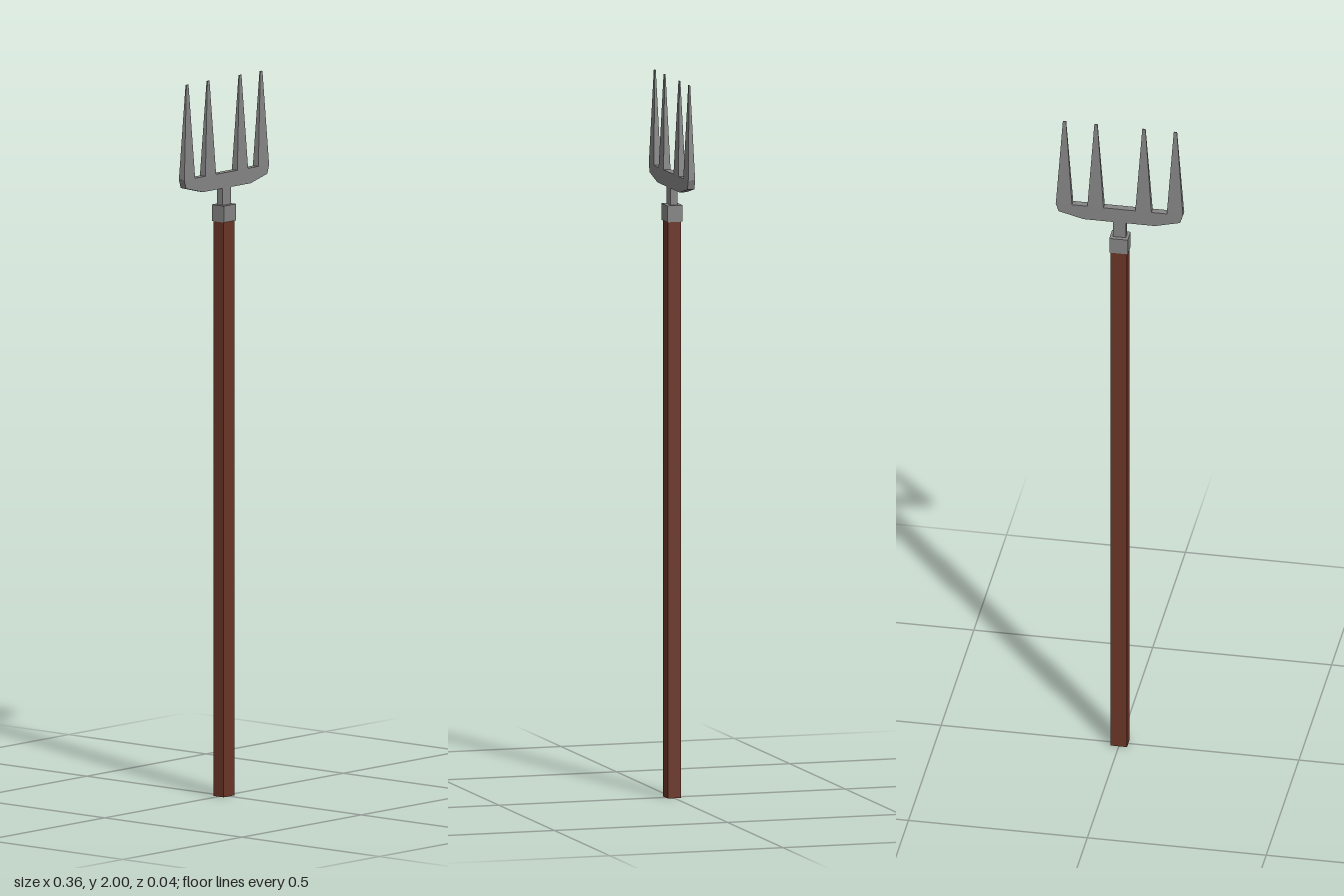
import * as THREE from 'three';

const BAR_TOP = 1.738;
const steel = new THREE.MeshStandardMaterial({ color: 0x858585, flatShading: true });
const wood = new THREE.MeshStandardMaterial({ color: 0x6b3526, flatShading: true });

// Box with its base at y0, optionally tapered to a smaller top
function block(name, material, w, h, d, x, y0, topW = w, topD = d) {
  const geo = new THREE.BoxGeometry(w, h, d);
  const p = geo.attributes.position;
  for (let i = 0; i < p.count; i++) {
    if (p.getY(i) > 0) {
      p.setX(i, Math.sign(p.getX(i)) * topW / 2);
      p.setZ(i, Math.sign(p.getZ(i)) * topD / 2);
    }
  }
  geo.translate(0, h / 2, 0);
  geo.computeVertexNormals();
  const mesh = new THREE.Mesh(geo, material);
  mesh.name = name;
  mesh.position.set(x, y0, 0);
  return mesh;
}

export function createModel() {
  const fork = new THREE.Group();
  fork.name = 'pitchfork';

  // Shaft, ferrule and the neck joining the head
  fork.add(block('handle', wood, 0.046, 1.61, 0.038, 0, 0));
  fork.add(block('collar', steel, 0.052, 0.046, 0.044, 0, 1.602));
  fork.add(block('neck', steel, 0.036, 0.054, 0.02, 0, 1.645));

  // Crossbar with a flat middle and raised outer ends
  const outline = [[-0.178, BAR_TOP], [-0.17, 1.713], [-0.1, 1.695],
    [0.1, 1.695], [0.17, 1.713], [0.178, BAR_TOP]];
  const shape = new THREE.Shape(outline.map(([x, y]) => new THREE.Vector2(x, y)));
  const barGeo = new THREE.ExtrudeGeometry(shape, { depth: 0.02, bevelEnabled: false });
  barGeo.translate(0, 0, -0.01);
  const bar = new THREE.Mesh(barGeo, steel);
  bar.name = 'crossbar';
  fork.add(bar);

  // Four tapering tines
  const tines = new THREE.Group();
  tines.name = 'tines';
  for (const x of [-0.155, -0.067, 0.067, 0.155]) {
    tines.add(block('tine', steel, 0.045, 2 - BAR_TOP, 0.02, x, BAR_TOP, 0.009, 0.003));
  }
  fork.add(tines);
  return fork;
}
